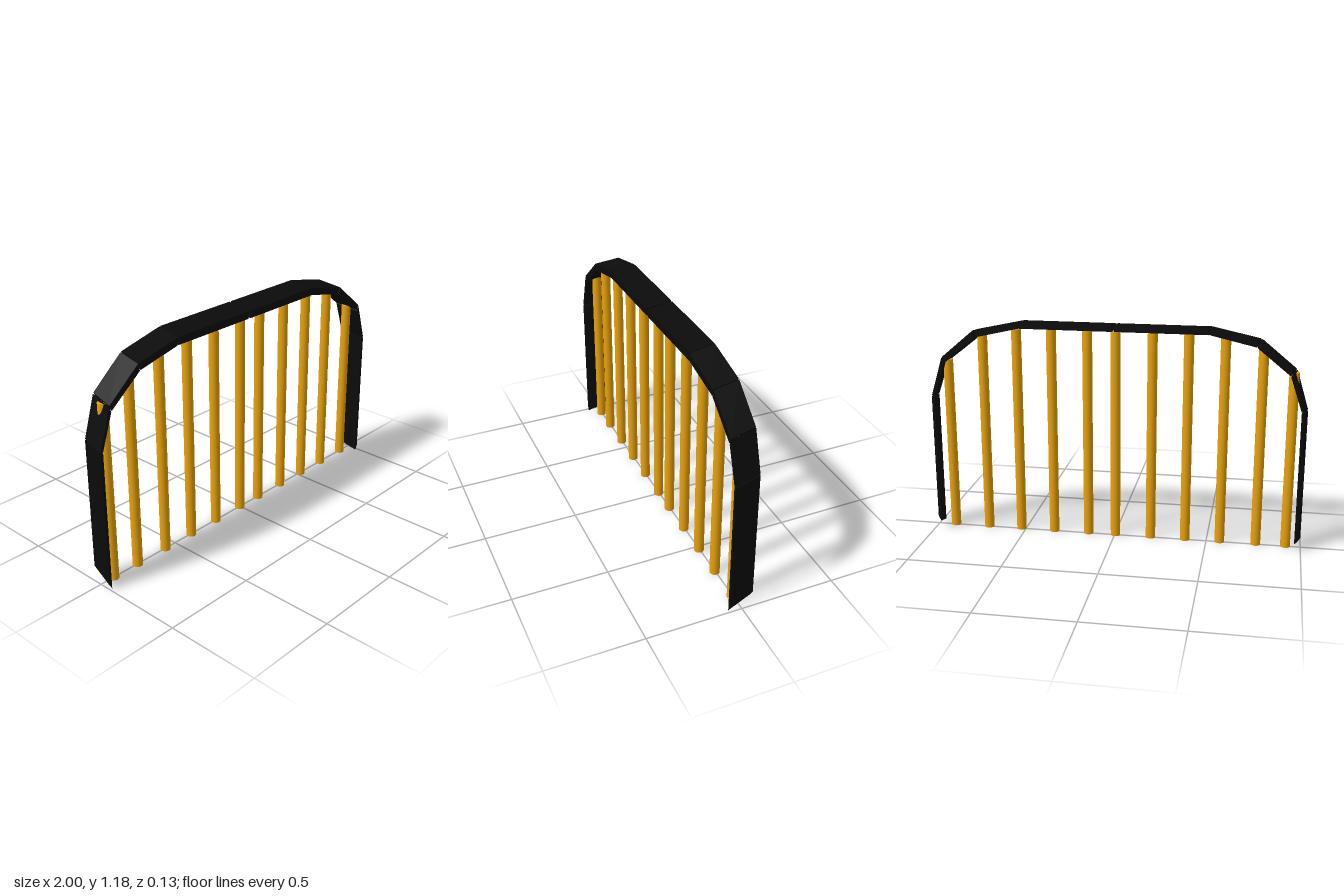
import * as THREE from 'three';
import { ConvexGeometry } from 'three/addons/geometries/ConvexGeometry.js';

const black = new THREE.MeshStandardMaterial({ color: 0x0b0b0b });
const amber = new THREE.MeshStandardMaterial({ color: 0xe8a20c });

// Stations along half of the arch, from foot to crown: front outer edge,
// front inner edge, and how far the back edge leans away from the front.
const stations = [
  { outer: [1, 0.025], inner: [0.985, 0], lean: [-0.02, 0.043] },
  { outer: [1, 0.74], inner: [0.985, 0.74], lean: [-0.02, 0.02] },
  { outer: [0.935, 0.953], inner: [0.922, 0.925], lean: [-0.02, 0.02] },
  { outer: [0.75, 1.105], inner: [0.74, 1.068], lean: [-0.012, 0.018] },
  { outer: [0.496, 1.16], inner: [0.5, 1.12], lean: [-0.008, 0.02] },
  { outer: [0, 1.16], inner: [0, 1.12], lean: [0, 0.02] },
];
const names = ['sidePanel', 'lowerCornerPanel', 'middleCornerPanel', 'upperCornerPanel', 'topPanel'];
const halfDepth = 0.066;

// The four corners of the slanted cross-section at one station.
function section({ outer, inner, lean }, side) {
  return [outer, inner].flatMap(([x, y]) => [
    new THREE.Vector3(side * x, y, halfDepth),
    new THREE.Vector3(side * (x + lean[0]), y + lean[1], -halfDepth),
  ]);
}

// A straight panel between two stations, with a narrow gap at its joints.
function panel(a, b, side, gapA, gapB) {
  const start = section(a, side), end = section(b, side);
  const points = start.flatMap((p, i) => {
    const dir = end[i].clone().sub(p).normalize();
    return [p.clone().addScaledVector(dir, gapA), end[i].clone().addScaledVector(dir, -gapB)];
  });
  return new THREE.Mesh(new ConvexGeometry(points), black);
}

export function createModel() {
  const model = new THREE.Group();
  model.name = 'archedFence';

  // Segmented arch, mirrored left and right
  const arch = new THREE.Group();
  arch.name = 'archFrame';
  for (const side of [1, -1]) {
    names.forEach((name, i) => {
      const gapB = i === names.length - 1 ? 0.007 : 0.003;
      const mesh = panel(stations[i], stations[i + 1], side, i === 0 ? 0 : 0.003, gapB);
      mesh.name = (side > 0 ? 'left' : 'right') + name[0].toUpperCase() + name.slice(1);
      arch.add(mesh);
    });
  }
  model.add(arch);

  // Round upright bars: x position and height
  const bars = new THREE.Group();
  bars.name = 'bars';
  const layout = [
    [-0.92, 0.95], [-0.763, 1.07], [-0.571, 1.12], [-0.384, 1.135], [-0.197, 1.135], [-0.004, 1.135],
    [0.145, 1.135], [0.337, 1.135], [0.524, 1.125], [0.709, 1.09], [0.903, 0.95],
  ];
  layout.forEach(([x, height], i) => {
    const bar = new THREE.Mesh(new THREE.CylinderGeometry(0.026, 0.026, height, 24), amber);
    bar.position.set(x, height / 2, 0.004);
    bar.name = `bar${i + 1}`;
    bars.add(bar);
  });
  model.add(bars);
  return model;
}
